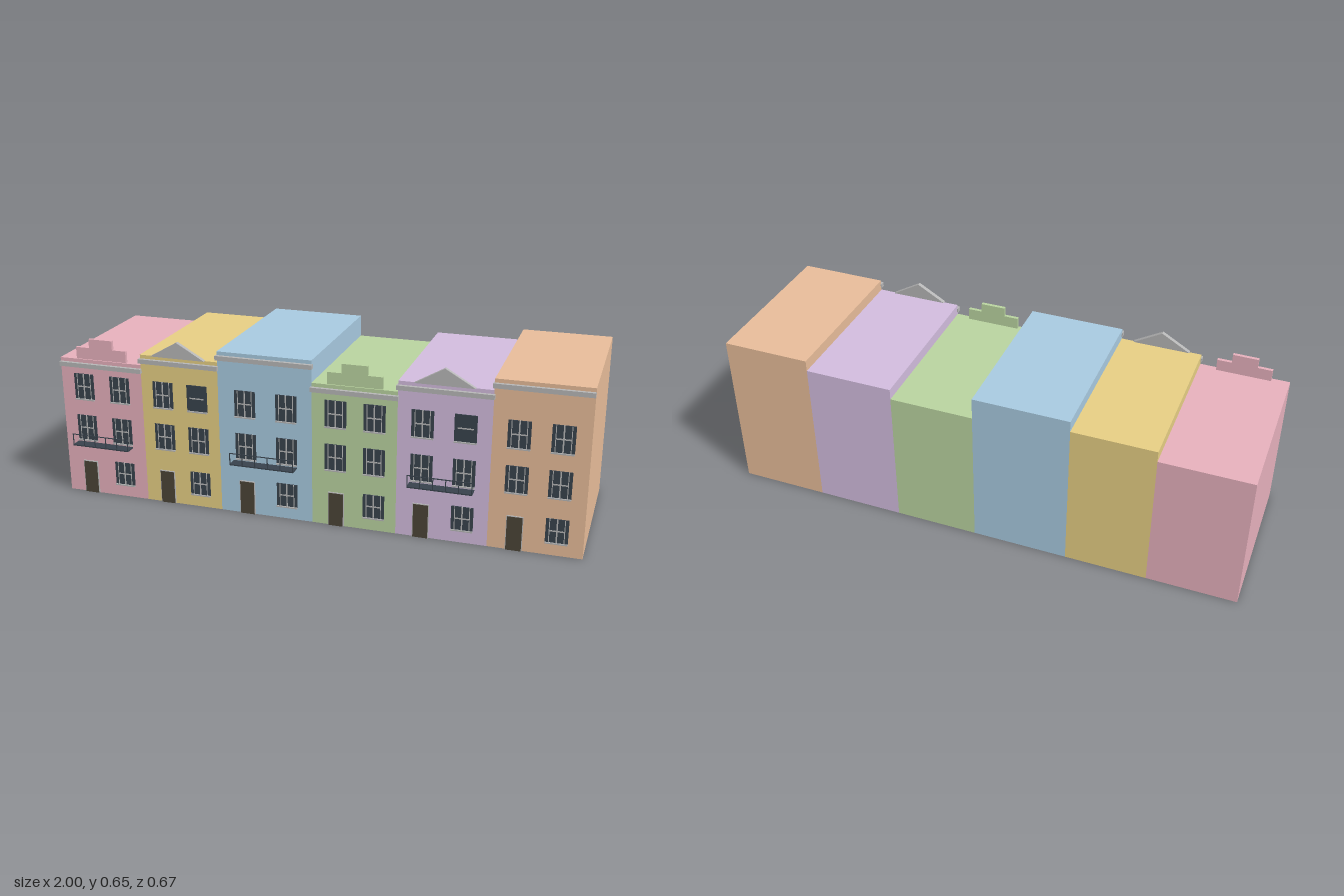
import * as THREE from 'three';

const mat = (name, color) => {
  const m = new THREE.MeshStandardMaterial({ color });
  m.name = name;
  return m;
};

const FRONT = 0.29, BACK = -0.333;

export function createModel() {
  const model = new THREE.Group();
  model.name = 'terraceRow';

  const stone = mat('stone grey', 0xb6b6b6);
  const dark = mat('slate dark', 0x38424c);
  const wood = mat('door brown', 0x4b4437);
  const plum = mat('plum dark', 0x4b4049);

  // Box given by its ranges on each axis
  const box = (parent, name, material, x0, x1, y0, y1, z0, z1) => {
    const mesh = new THREE.Mesh(new THREE.BoxGeometry(x1 - x0, y1 - y0, z1 - z0), material);
    mesh.position.set((x0 + x1) / 2, (y0 + y1) / 2, (z0 + z1) / 2);
    mesh.name = name;
    parent.add(mesh);
    return mesh;
  };

  // Flat outline pushed along z
  const plate = (parent, name, material, points, z0, z1) => {
    const shape = new THREE.Shape(points.map(([x, y]) => new THREE.Vector2(x, y)));
    const mesh = new THREE.Mesh(
      new THREE.ExtrudeGeometry(shape, { depth: z1 - z0, bevelEnabled: false }), material);
    mesh.position.z = z0;
    mesh.name = name;
    parent.add(mesh);
  };

  // Sash window: dark pane, thin glazing bars and a sill
  const addWindow = (parent, x, y0, y1, wide) => {
    const g = new THREE.Group();
    g.name = 'window';
    parent.add(g);
    const w = 0.04, mid = (y0 + y1) / 2;
    box(g, 'pane', dark, x - w, x + w, y0, y1, FRONT, FRONT + 0.004);
    box(g, 'crossBar', stone, x - 0.028, x + 0.028, mid - 0.0025, mid + 0.0025, FRONT, FRONT + 0.005);
    if (!wide) {
      box(g, 'middleBar', stone, x - 0.0025, x + 0.0025, y0, y1, FRONT, FRONT + 0.0055);
      for (const s of [-1, 1]) {
        const bx = x + s * 0.027;
        box(g, 'sideBar', stone, bx - 0.0015, bx + 0.0015, y0, y1, FRONT, FRONT + 0.005);
      }
    }
    box(g, 'sill', stone, x - w, x + w, y0 - 0.004, y0 + 0.001, FRONT, FRONT + 0.009);
  };

  // Door in a thin stone surround
  const addDoor = (parent, x) => {
    box(parent, 'doorSurround', stone, x - 0.03, x + 0.03, 0, 0.132, FRONT, FRONT + 0.005);
    box(parent, 'door', wood, x - 0.0275, x + 0.0275, 0, 0.1295, FRONT, FRONT + 0.006);
  };

  // Balcony: slab with posts and a top rail along its front edge
  const addBalcony = (parent, x0, x1) => {
    const g = new THREE.Group();
    g.name = 'balcony';
    parent.add(g);
    box(g, 'slab', dark, x0, x1, 0.2065, 0.211, FRONT, 0.333);
    box(g, 'topRail', dark, x0, x1, 0.252, 0.255, 0.33, 0.333);
    const count = 6;
    for (let i = 0; i < count; i++) {
      const x = x0 + 0.0015 + (x1 - x0 - 0.003) * i / (count - 1);
      box(g, 'post', dark, x - 0.0015, x + 0.0015, 0.21, 0.253, 0.33, 0.333);
    }
  };

  const houses = [
    { name: 'pink', color: 0xe6b0bc, base: plum, x: [-1, -0.664], h: 0.547, win: [-0.906, -0.757], top: 'steps', mid: -0.83, balcony: [-0.95, -0.717] },
    { name: 'yellow', color: 0xe6ce83, base: wood, x: [-0.664, -0.354], h: 0.588, win: [-0.577, -0.439], top: 'gable', mid: -0.51, wide: true },
    { name: 'blue', color: 0xa8cae0, base: dark, x: [-0.354, 0.009], h: 0.63, win: [-0.249, -0.089], balcony: [-0.3, -0.05] },
    { name: 'green', color: 0xb9d39f, base: wood, x: [0.009, 0.327], h: 0.547, win: [0.099, 0.244], top: 'steps', mid: 0.168 },
    { name: 'purple', color: 0xd2bcde, base: plum, x: [0.327, 0.663], h: 0.588, win: [0.418, 0.571], top: 'gable', mid: 0.493, balcony: [0.375, 0.61], wide: true },
    { name: 'tan', color: 0xe8bd9a, base: wood, x: [0.663, 1], h: 0.63, win: [0.756, 0.906] },
  ];

  for (const { name, color, base, x: [x0, x1], h, win, top, mid, balcony, wide } of houses) {
    const house = new THREE.Group();
    house.name = name + 'House';
    model.add(house);

    // Walls and roof in one colour, dark underside (box group 3)
    const wall = mat(name + ' wall', color);
    box(house, 'walls', [wall, wall, wall, base, wall, wall], x0, x1, 0, h, BACK, FRONT);

    // Cornice, slightly wider than the house
    box(house, 'cornice', stone, Math.max(x0 - 0.004, -1), Math.min(x1 + 0.004, 1),
      h - 0.031, h - 0.014, FRONT - 0.006, 0.303);

    // Front parapet
    if (top === 'steps') {
      const a = 0.103, b = 0.048, y = h - 0.005;
      plate(house, 'steppedGable', wall, [
        [mid - a, y], [mid + a, y], [mid + a, 0.592], [mid + b, 0.592],
        [mid + b, 0.627], [mid - b, 0.627], [mid - b, 0.592], [mid - a, 0.592],
      ], 0.272, 0.285);
    }
    if (top === 'gable') {
      plate(house, 'pediment', stone,
        [[mid - 0.108, h], [mid + 0.108, h], [mid, 0.65]], 0.283, 0.299);
    }

    // Door on the left of the ground floor, windows elsewhere
    addDoor(house, win[0] + 0.002);
    addWindow(house, win[1], 0.05, 0.141, false);
    for (const [i, x] of win.entries()) {
      addWindow(house, x, 0.221, 0.321, false);
      addWindow(house, x, 0.388, 0.489, !!wide && i === 1);
    }
    if (balcony) addBalcony(house, ...balcony);
  }
  return model;
}
